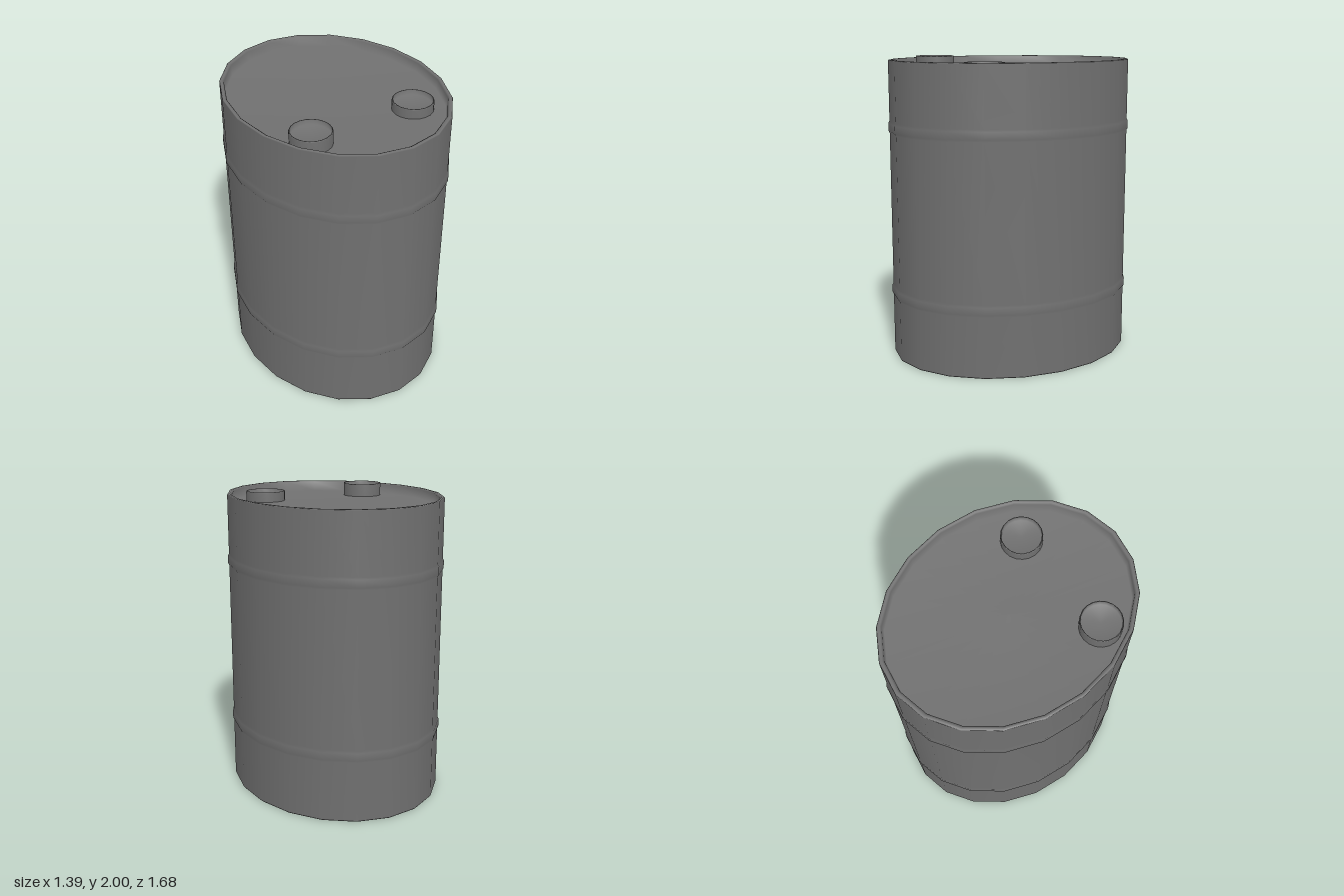
import * as THREE from 'three';

const material = new THREE.MeshStandardMaterial({ color: 0x707070 });

// Revolve a [radius, y] profile and stretch it to an ellipse; normals stay smooth
function turned(name, profile, sx = 1, sz = 1) {
  const geometry = new THREE.LatheGeometry(profile.map(([r, y]) => new THREE.Vector2(r, y)), 20);
  geometry.scale(sx, 1, sz);
  const mesh = new THREE.Mesh(geometry, material);
  mesh.name = name;
  return mesh;
}

// Raised hoop, as a stretch of the drum's wall profile
const hoop = (y0, y1) => [[1, y0], [1.01, y0 + 0.015], [1.01, y1 - 0.015], [1, y1]];

export function createModel() {
  const group = new THREE.Group();
  group.name = 'barrel';

  // Oval drum with a rounded rim, recessed ends and two hoops
  const top = 1.985, recess = 0.07;
  group.add(turned('drum', [
    [0, recess], [0.95, recess], [0.96, 0.008], [0.975, 0], [0.995, 0], [1, 0.006],
    ...hoop(0.405, 0.485),
    ...hoop(1.508, 1.588),
    [1, top - 0.006], [0.995, top], [0.975, top], [0.96, top - 0.008],
    [0.95, top - recess], [0, top - recess],
  ], 0.687, 0.834));

  // Filler caps with a thin lip around a sunken centre
  const caps = [['rightCap', -0.402, 2], ['leftCap', 0.338, 1.98]];
  for (const [name, x, y] of caps) {
    const cap = turned(name, [
      [0.132, -0.095], [0.132, -0.005], [0.129, 0], [0.125, 0], [0.122, -0.035], [0, -0.035],
    ]);
    cap.position.set(x, y, 0.373);
    group.add(cap);
  }
  return group;
}
